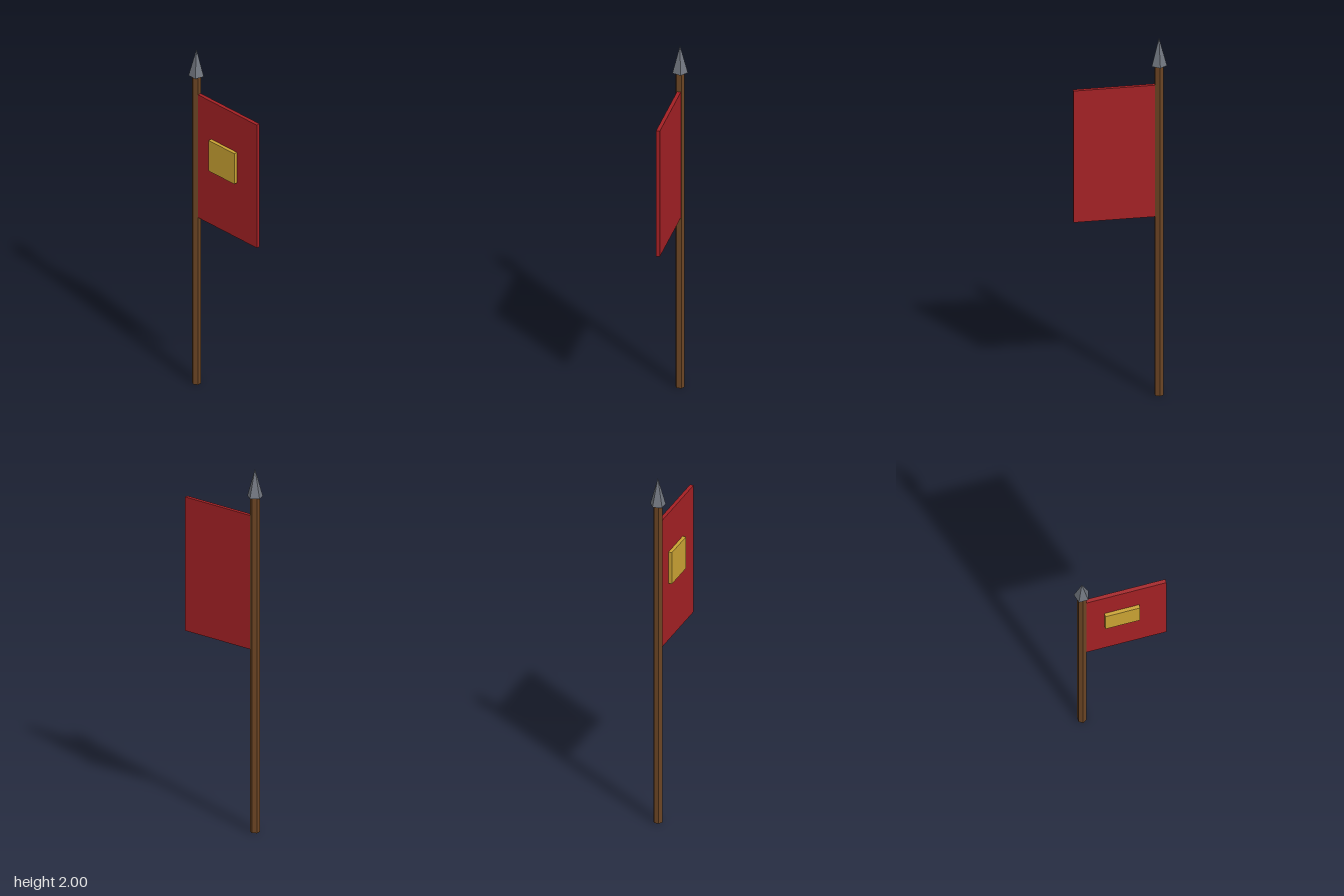
import * as THREE from 'three';

const POLE_X = -0.203;
const MID_Z = 0.003;

function material(name, color, flatShading = false) {
  const m = new THREE.MeshStandardMaterial({ color, flatShading });
  m.name = name;
  return m;
}

export function createModel() {
  const group = new THREE.Group();
  group.name = 'bannerOnPole';

  const wood = material('brown wood', 0x6b4423, true);
  const steel = material('grey steel', 0x6f747d, true);
  const cloth = material('red cloth', 0xa32024);
  const gold = material('gold', 0xc9a233);

  function add(name, geometry, mat, x, y, z) {
    const mesh = new THREE.Mesh(geometry, mat);
    mesh.name = name;
    mesh.position.set(x, y, z);
    group.add(mesh);
    return mesh;
  }

  // Six-sided pole standing on the ground
  add('pole', new THREE.CylinderGeometry(0.025, 0.025, 1.85, 6), wood, POLE_X, 0.925, MID_Z);

  // Five-sided spear tip, one corner pointing back
  const tip = add('spearTip', new THREE.ConeGeometry(0.042, 0.154, 5), steel, POLE_X, 1.923, MID_Z);
  tip.rotation.y = Math.PI;

  // Stiff banner cloth, running from the pole to the left
  add('banner', new THREE.BoxGeometry(0.427, 0.737, 0.02), cloth, 0.0295, 1.371, MID_Z);

  // Square emblem on the front of the banner
  add('emblem', new THREE.BoxGeometry(0.185, 0.183, 0.019), gold, 0.0065, 1.423, 0.0222);

  return group;
}
